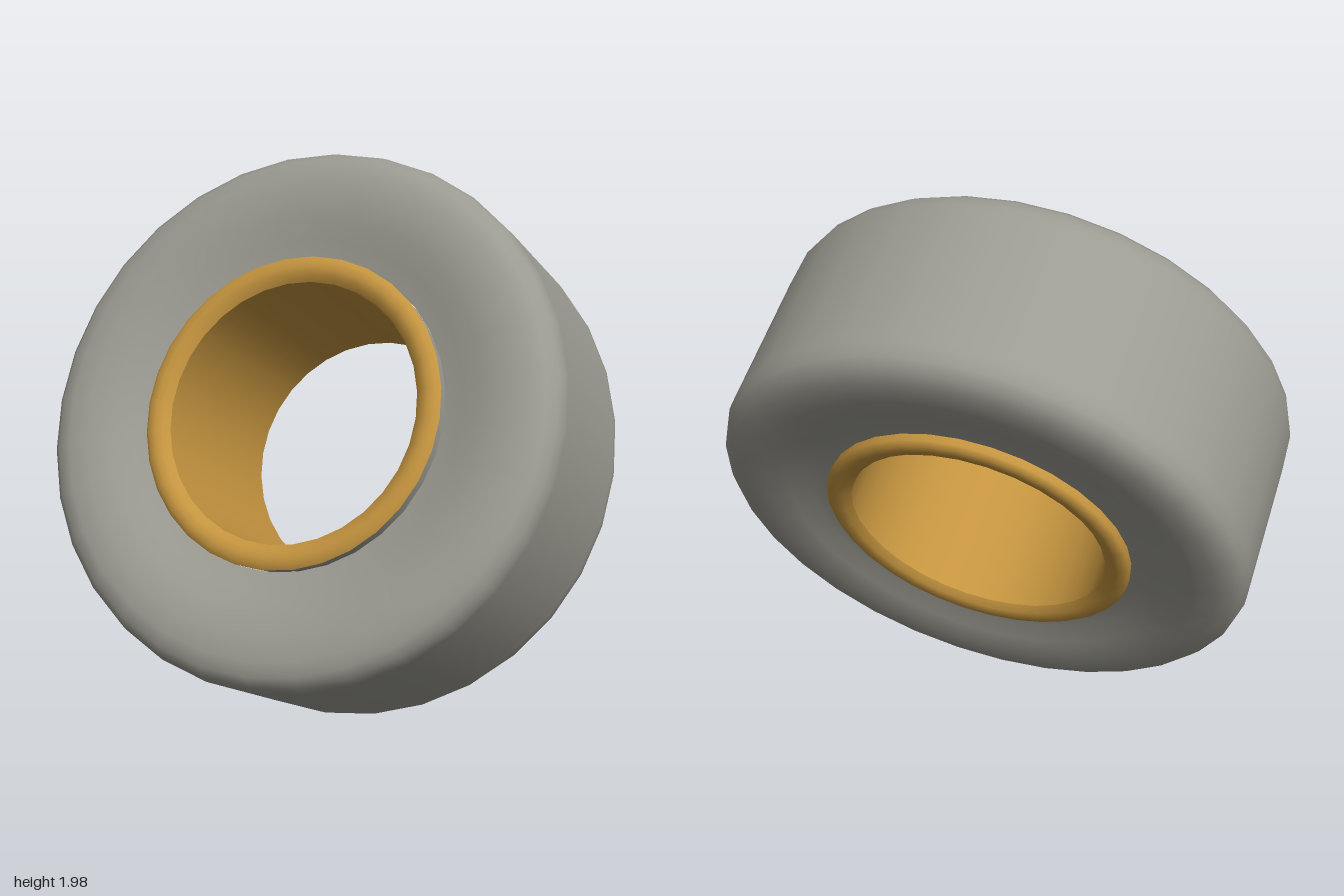
import * as THREE from 'three';

const SEGMENTS = 32;

// Surface of revolution from [radius, axial position] pairs.
function ring(name, profile, material) {
  const points = profile.map(([r, a]) => new THREE.Vector2(r, a));
  const mesh = new THREE.Mesh(new THREE.LatheGeometry(points, SEGMENTS), material);
  mesh.name = name;
  return mesh;
}

export function createModel() {
  const rubber = new THREE.MeshStandardMaterial({ color: 0x9c9b92 });
  rubber.name = 'greyRubber';
  const brass = new THREE.MeshStandardMaterial({ color: 0xc4943f });
  brass.name = 'goldenRim';

  const wheel = new THREE.Group();
  wheel.name = 'wheel';

  // Tyre: rounded shoulders and sidewalls dipping toward the rim
  const shoulder = [
    [0.955, 0.27], [0.954, 0.3], [0.942, 0.34], [0.912, 0.372],
    [0.86, 0.39], [0.78, 0.395], [0.69, 0.377], [0.62, 0.35],
  ];
  const back = shoulder.map(([r, a]) => [r, -a]).reverse();
  wheel.add(ring('tyre', [[0.545, -0.345], ...back, ...shoulder, [0.55, 0.33]], rubber));

  // Bead standing out of the front groove
  wheel.add(ring('frontBead', [[0.548, 0.32], [0.548, 0.374]], rubber));

  // Rim lips, rounded over into the bore
  const lip = [[0.552, 0.372], [0.535, 0.386], [0.51, 0.389], [0.485, 0.382], [0.463, 0.362]];
  wheel.add(ring('frontLip', lip, brass));
  wheel.add(ring('backLip', [...lip.map(([r, a]) => [r, -a]).reverse(), [0.552, -0.34]], brass));

  // Open bore through the wheel
  wheel.add(ring('bore', [[0.463, 0.362], [0.463, -0.362]], brass));

  // Lean the axle forward, up and to the side
  const axle = new THREE.Vector3(0.276, 0.476, 0.835).normalize();
  wheel.quaternion.setFromUnitVectors(new THREE.Vector3(0, 1, 0), axle);
  wheel.position.y = 0.99;

  const model = new THREE.Group();
  model.name = 'tiltedWheel';
  model.add(wheel);
  return model;
}
